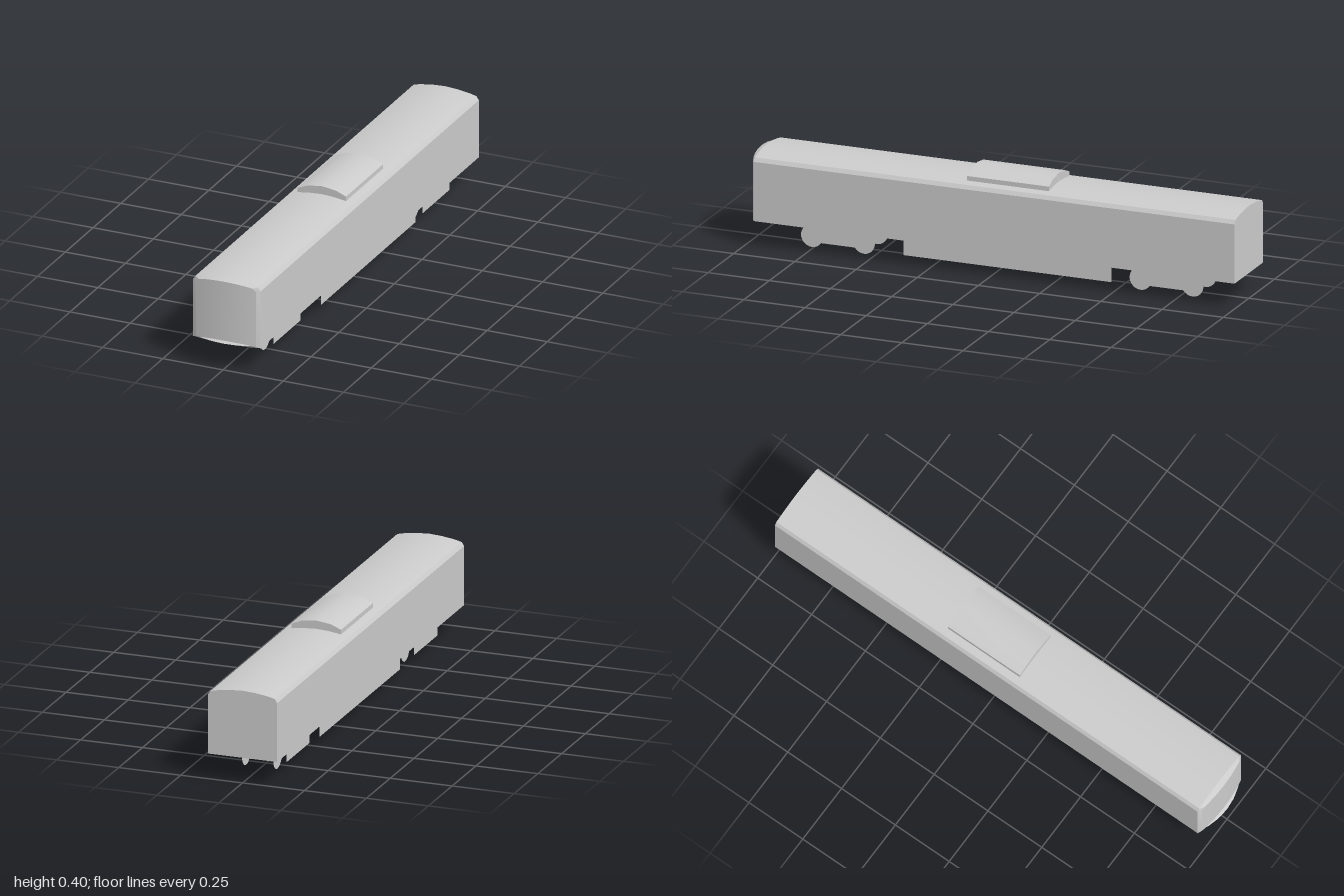
import * as THREE from 'three';
import { toCreasedNormals } from 'three/addons/utils/BufferGeometryUtils.js';

const material = new THREE.MeshStandardMaterial({ color: 0xcccccc, side: THREE.DoubleSide });

// Skin a list of rows of [x, y, z] points
function loft(rows) {
  const n = rows[0].length, index = [];
  for (let i = 0; i < rows.length - 1; i++) {
    for (let j = 0; j < n - 1; j++) {
      const a = i * n + j, d = a + n;
      index.push(a, a + 1, d + 1, a, d + 1, d);
    }
  }
  const g = new THREE.BufferGeometry();
  g.setAttribute('position', new THREE.Float32BufferAttribute(rows.flat(2), 3));
  g.setIndex(index);
  return toCreasedNormals(g, 0.4);
}

// Mirror a half profile (+x edge to centre) into a full one (+x to -x)
const mirror = (half) => [...half, ...half.slice(0, -1).reverse().map(([x, y]) => [-x, y])];
const at = (profile, z) => profile.map(([x, y]) => [x, y, typeof z === 'function' ? z(x) : z]);

export function createModel() {
  const model = new THREE.Group();
  const add = (name, geometry, x = 0, y = 0, z = 0, ry = 0) => {
    const m = new THREE.Mesh(geometry, material);
    m.name = name;
    m.position.set(x, y, z);
    m.rotation.y = ry;
    model.add(m);
  };
  const flat = (profile) => new THREE.ShapeGeometry(
    new THREE.Shape(profile.map(([x, y]) => new THREE.Vector2(x, y))));

  // Hollow body shell, open underneath, with a bevel round the nose
  const section = mirror([[0.14, 0.1], [0.14, 0.335], [0.13, 0.35], [0.1, 0.357], [0.05, 0.364], [0, 0.367]]);
  const noseRim = mirror([[0.125, 0.108], [0.125, 0.333], [0.112, 0.345], [0.085, 0.351], [0.045, 0.356], [0, 0.358]]);
  const noseZ = (x) => 0.988 - 0.9 * x * x;
  add('bodyShell', loft([at(section, -1), at(section, 0.965)]));
  add('noseBevel', loft([at(section, 0.965), at(noseRim, noseZ)]));
  add('rearWall', flat(section), 0, 0, -1, Math.PI);

  // Bowed front wall
  const top = noseRim.slice(1, -1).reverse();
  const row = (y) => top.map(([x]) => [x, y, noseZ(x)]);
  add('frontWall', loft([row(0.108), row(0.15), at(top, noseZ)]));

  // Projecting lip along the foot of the nose
  const lipRow = (y, depth, width) => top.map(([x]) => {
    const s = x / 0.125;
    return [s * width, y, 0.963 + depth * (1 - s * s)];
  });
  add('noseLip', loft([lipRow(0.1, 0.017, 0.14), lipRow(0.108, 0.037, 0.138), lipRow(0.115, 0.025, 0.125)]));

  // Roof equipment hump
  const hump = mirror([[0.1, 0.355], [0.1, 0.375], [0.06, 0.392], [0, 0.4]]);
  add('roofUnit', loft([at(hump, -0.225), at(hump, 0.11)]));
  add('roofUnitFront', flat(hump), 0, 0, 0.11);
  add('roofUnitRear', flat(hump), 0, 0, -0.225, Math.PI);

  // Flat underfloor skirts, bogie frames and wheels on both sides
  for (const side of [1, -1]) {
    const turn = side * Math.PI / 2;
    add('underfloorSkirt', new THREE.PlaneGeometry(0.85, 0.07), side * 0.113, 0.068, -0.062, turn);
    for (const z of [0.652, -0.69]) {
      add('bogieFrame', new THREE.PlaneGeometry(0.246, 0.06), side * 0.105, 0.065, z, turn);
      for (const dz of [0.106, -0.106]) {
        add('wheel', new THREE.CircleGeometry(0.045, 24), side * 0.063, 0.045, z + dz, turn);
      }
    }
  }
  return model;
}
